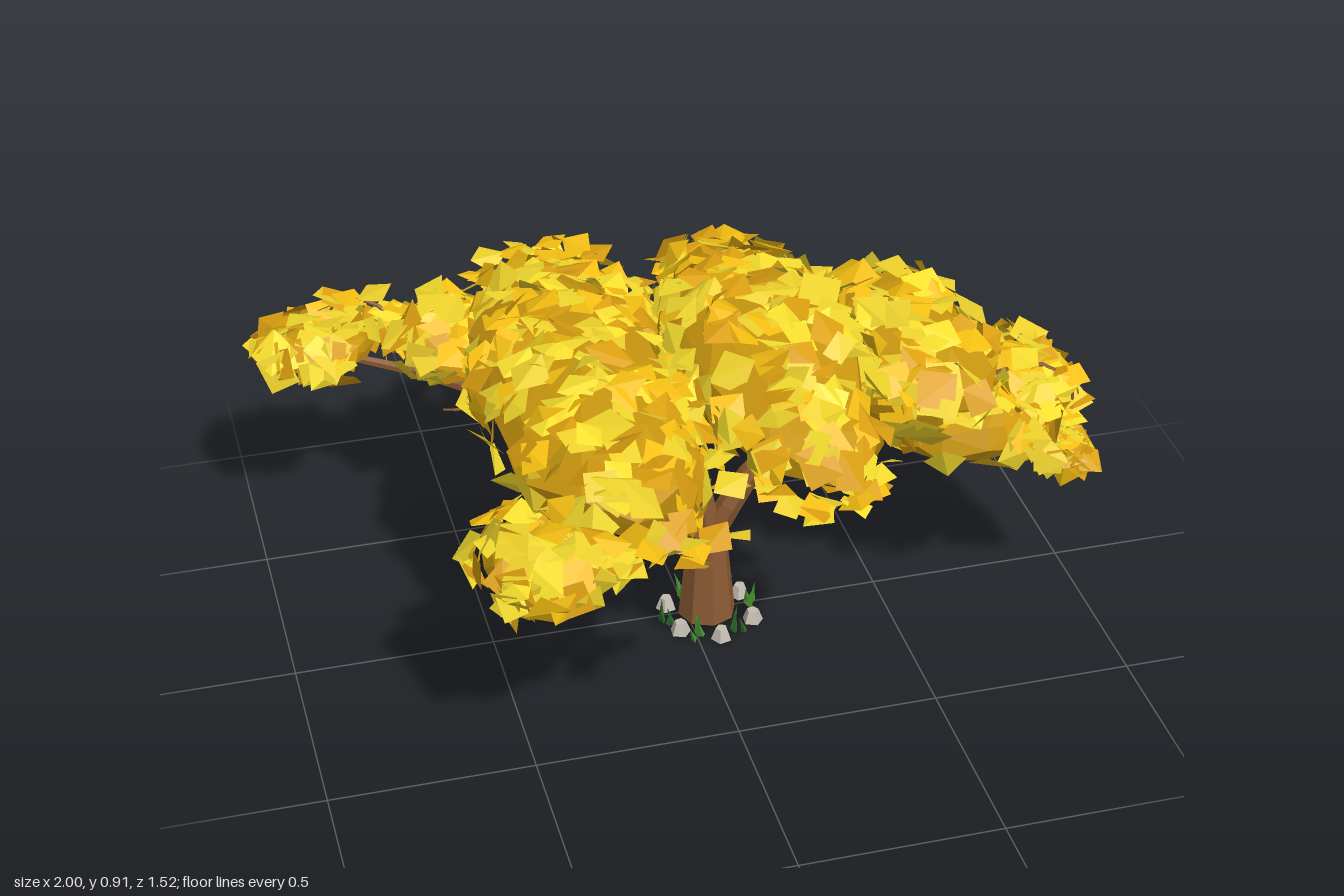
import * as THREE from 'three';
import { mergeGeometries } from 'three/addons/utils/BufferGeometryUtils.js';

const V = (x, y, z) => new THREE.Vector3(x, y, z);
const spline = points => new THREE.CatmullRomCurve3(points.map(p => V(...p)));
const material = (color, side = THREE.FrontSide) =>
  new THREE.MeshStandardMaterial({ color, side, flatShading: true });

// Small seeded random generator
function seeded(seed) {
  return () => {
    seed = (seed * 1664525 + 1013904223) % 4294967296;
    return seed / 4294967296;
  };
}

// Tapered limb: a tube whose rings shrink from r0 to r1 along the path
function limb(points, r0, r1, sides = 6, steps = 8) {
  const curve = spline(points);
  const geo = new THREE.TubeGeometry(curve, steps, 1, sides);
  const pos = geo.attributes.position, v = V(0, 0, 0);
  for (let i = 0; i <= steps; i++) {
    const c = curve.getPointAt(i / steps);
    const r = THREE.MathUtils.lerp(r0, r1, i / steps);
    for (let j = 0; j <= sides; j++) {
      const k = i * (sides + 1) + j;
      v.fromBufferAttribute(pos, k).sub(c).multiplyScalar(r).add(c);
      pos.setXYZ(k, v.x, v.y, v.z);
    }
  }
  return geo;
}

// Faceted, uneven leaf mass
function cluster([cx, cy, cz], [rx, ry, rz]) {
  const geo = new THREE.IcosahedronGeometry(1, 1);
  const pos = geo.attributes.position, v = V(0, 0, 0);
  for (let i = 0; i < pos.count; i++) {
    v.fromBufferAttribute(pos, i);
    const k = 0.96 + 0.09 * Math.sin(v.x * 7 + v.y * 5 + cx * 9) * Math.cos(v.z * 6 + cz * 5);
    pos.setXYZ(i, cx + v.x * rx * k, cy + v.y * ry * k, cz + v.z * rz * k);
  }
  geo.computeVertexNormals();
  return geo;
}

// One bent square leaf card facing roughly along the given normal
function leafCard(point, normal, size, random) {
  const geo = new THREE.PlaneGeometry(size, size * (0.75 + random() * 0.3));
  geo.attributes.position.setZ(0, -size * 0.25 * random());
  geo.attributes.position.setZ(3, -size * 0.25 * random());
  geo.rotateZ(random() * Math.PI * 2);
  const facing = normal.clone().add(
    V(random() - 0.5, random() - 0.5, random() - 0.5).multiplyScalar(0.95)).normalize();
  geo.applyQuaternion(new THREE.Quaternion().setFromUnitVectors(V(0, 0, 1), facing));
  const limit = 1 - size * 0.6;
  geo.translate(THREE.MathUtils.clamp(point.x, -limit, limit), point.y, point.z);
  return geo;
}

// Leaf cards scattered evenly over the top and sides of an ellipsoid
function scatter([cx, cy, cz], [rx, ry, rz], random, bins) {
  const count = Math.round(45 + 900 * (rx * rz + 0.35 * ry * (rx + rz)));
  const maxArea = 1 / Math.min(rx, ry, rz);
  for (let n = 0; n < count;) {
    const y = random() * 1.38 - 0.38, a = random() * Math.PI * 2;
    const s = Math.sqrt(1 - y * y);
    const d = V(Math.cos(a) * s, y, Math.sin(a) * s);
    const normal = V(d.x / rx, d.y / ry, d.z / rz);
    if (normal.length() < random() * maxArea) continue;
    normal.normalize();
    const point = V(cx + d.x * rx, cy + d.y * ry, cz + d.z * rz)
      .addScaledVector(normal, random() * 0.03);
    bins[Math.floor(random() * bins.length)].push(
      leafCard(point, normal, 0.062 + random() * 0.03, random));
    n++;
  }
}

export function createModel() {
  const tree = new THREE.Group();
  tree.name = 'tree';
  const random = seeded(17);
  const bark = material(0x8a5a33);
  const add = (name, geo, mat, parent = tree) => {
    const mesh = new THREE.Mesh(geo, mat);
    mesh.name = name;
    parent.add(mesh);
    return mesh;
  };

  // Trunk with a closed foot
  const trunk = new THREE.CylinderGeometry(0.047, 0.074, 0.27, 8);
  trunk.translate(0.05, 0.145, 0.015);
  add('trunk', trunk, bark);

  // Branches
  const branches = [
    ['upperTrunk', [[0.045, 0.25, 0.015], [0.025, 0.4, 0.02], [0.01, 0.5, 0.02], [-0.04, 0.58, 0.03], [-0.12, 0.68, 0.06]], 0.043, 0.016],
    ['longBranch', [[0.04, 0.25, 0.01], [-0.1, 0.34, -0.11], [-0.25, 0.42, -0.25], [-0.4, 0.48, -0.38], [-0.62, 0.51, -0.54], [-0.85, 0.55, -0.62]], 0.033, 0.008],
    ['frontBranch', [[0.04, 0.25, 0.02], [-0.08, 0.34, 0.07], [-0.22, 0.415, 0.12], [-0.34, 0.47, 0.23], [-0.45, 0.55, 0.42]], 0.034, 0.01],
    ['sideBranch', [[0.06, 0.25, 0.02], [0.1, 0.33, 0.03], [0.18, 0.45, 0.03], [0.28, 0.53, 0.04], [0.44, 0.57, 0.06], [0.68, 0.56, 0.07]], 0.034, 0.012],
    ['forkBranch', [[0.18, 0.45, 0.03], [0.17, 0.52, 0.04], [0.12, 0.67, 0.06]], 0.02, 0.01],
    ['crownBranch', [[0.01, 0.48, 0.02], [-0.01, 0.57, -0.03], [-0.09, 0.68, -0.1]], 0.02, 0.01],
    ['highBranch', [[0.24, 0.5, 0.03], [0.38, 0.6, 0], [0.55, 0.67, -0.03]], 0.017, 0.008],
    ['lowTwig', [[-0.42, 0.49, -0.42], [-0.48, 0.46, -0.38], [-0.53, 0.45, -0.4]], 0.007, 0.003],
  ];
  for (const [name, path, r0, r1] of branches) add(name, limb(path, r0, r1), bark);

  // Foliage: [centre, radii] for every leaf mass
  const masses = [
    [[-0.26, 0.71, 0.02], [0.24, 0.125, 0.62]],
    [[0.19, 0.745, 0.02], [0.23, 0.125, 0.55]],
    [[0.56, 0.675, -0.04], [0.21, 0.11, 0.34]],
    [[0.68, 0.56, 0.07], [0.22, 0.1, 0.23]],
    [[0.84, 0.6, 0.05], [0.1, 0.07, 0.16]],
    [[0.91, 0.465, 0.19], [0.05, 0.035, 0.06]],
    [[-0.45, 0.56, 0.45], [0.16, 0.08, 0.17]],
    [[-0.81, 0.555, -0.61], [0.15, 0.055, 0.11]],
    [[-0.47, 0.58, -0.53], [0.16, 0.08, 0.14]],
  ];
  const foliage = new THREE.Group();
  foliage.name = 'foliage';
  tree.add(foliage);
  const golds = [0xf5bf12, 0xf8e02e, 0xdca010, 0xecd02a];
  const bins = golds.map(() => []);
  const core = material(0xca970f);
  for (const [centre, radii] of masses) {
    add('leafMass', cluster(centre, radii), core, foliage);
    scatter(centre, radii, random, bins);
  }

  // Arching sprays of leaves at the rim and between the two crowns;
  // the first two hang on visible twigs
  const sprays = [
    [[0.72, 0.65, 0.1], [0.86, 0.69, 0.14], [0.94, 0.62, 0.16], [0.92, 0.47, 0.17]],
    [[-0.58, 0.57, -0.55], [-0.65, 0.66, -0.6], [-0.74, 0.66, -0.65], [-0.8, 0.58, -0.66]],
    [[-0.42, 0.7, 0.55], [-0.34, 0.71, 0.67], [-0.23, 0.71, 0.73], [-0.08, 0.7, 0.64]],
    [[0.04, 0.73, 0.54], [0.16, 0.71, 0.62], [0.26, 0.7, 0.57], [0.35, 0.69, 0.48]],
    [[-0.42, 0.69, -0.62], [-0.32, 0.73, -0.65], [-0.19, 0.72, -0.7], [-0.08, 0.73, -0.55]],
    [[0.05, 0.74, -0.48], [0.16, 0.73, -0.55], [0.3, 0.72, -0.47], [0.43, 0.7, -0.37]],
    [[-0.05, 0.73, -0.45], [-0.04, 0.76, -0.3], [-0.04, 0.77, -0.15], [-0.03, 0.78, 0]],
    [[-0.03, 0.78, 0.03], [-0.03, 0.77, 0.2], [-0.04, 0.75, 0.35], [-0.05, 0.72, 0.5]],
  ];
  sprays.forEach((path, i) => {
    if (i < 2) add('archingTwig', limb(path, 0.007, 0.003), bark);
    const curve = spline(path);
    for (let k = 0; k < 16; k++) {
      const point = curve.getPointAt(k / 15);
      point.x += (random() - 0.5) * 0.06;
      point.y += (random() - 0.5) * 0.05;
      bins[k % 4].push(leafCard(point, V(0, 1, 0), 0.07, random));
    }
  });
  bins.forEach((cards, i) =>
    add('leaves', mergeGeometries(cards), material(golds[i], THREE.DoubleSide), foliage));

  // Stones and grass tufts ringing the foot
  const ground = new THREE.Group();
  ground.name = 'groundDetails';
  tree.add(ground);
  const stone = material(0xc4bcb0);
  const greens = [material(0x2f6b2c, THREE.DoubleSide), material(0x4c9a33, THREE.DoubleSide)];
  for (let i = 0; i < 6; i++) {
    const a = i / 6 * Math.PI * 2 + 0.5, r = 0.105 + random() * 0.015;
    const rock = add('stone', new THREE.CylinderGeometry(0.015, 0.027, 0.032, 5), stone, ground);
    rock.rotation.y = a * 3;
    rock.position.set(0.055 + Math.cos(a) * r, 0.018, 0.025 + Math.sin(a) * r);

    const b = a + 0.5;
    for (let k = 0; k < 4; k++) {
      const h = 0.04 + random() * 0.03;
      const blade = new THREE.ConeGeometry(0.009, h, 3);
      blade.translate(0, h / 2, 0);
      const grass = add('grassBlade', blade, greens[i % 2], ground);
      grass.position.set(0.055 + Math.cos(b) * 0.105 + (random() - 0.5) * 0.04, 0.004,
        0.025 + Math.sin(b) * 0.105 + (random() - 0.5) * 0.04);
      grass.rotation.set((random() - 0.5) * 0.6, 0, (random() - 0.5) * 0.6);
    }
  }
  return tree;
}
